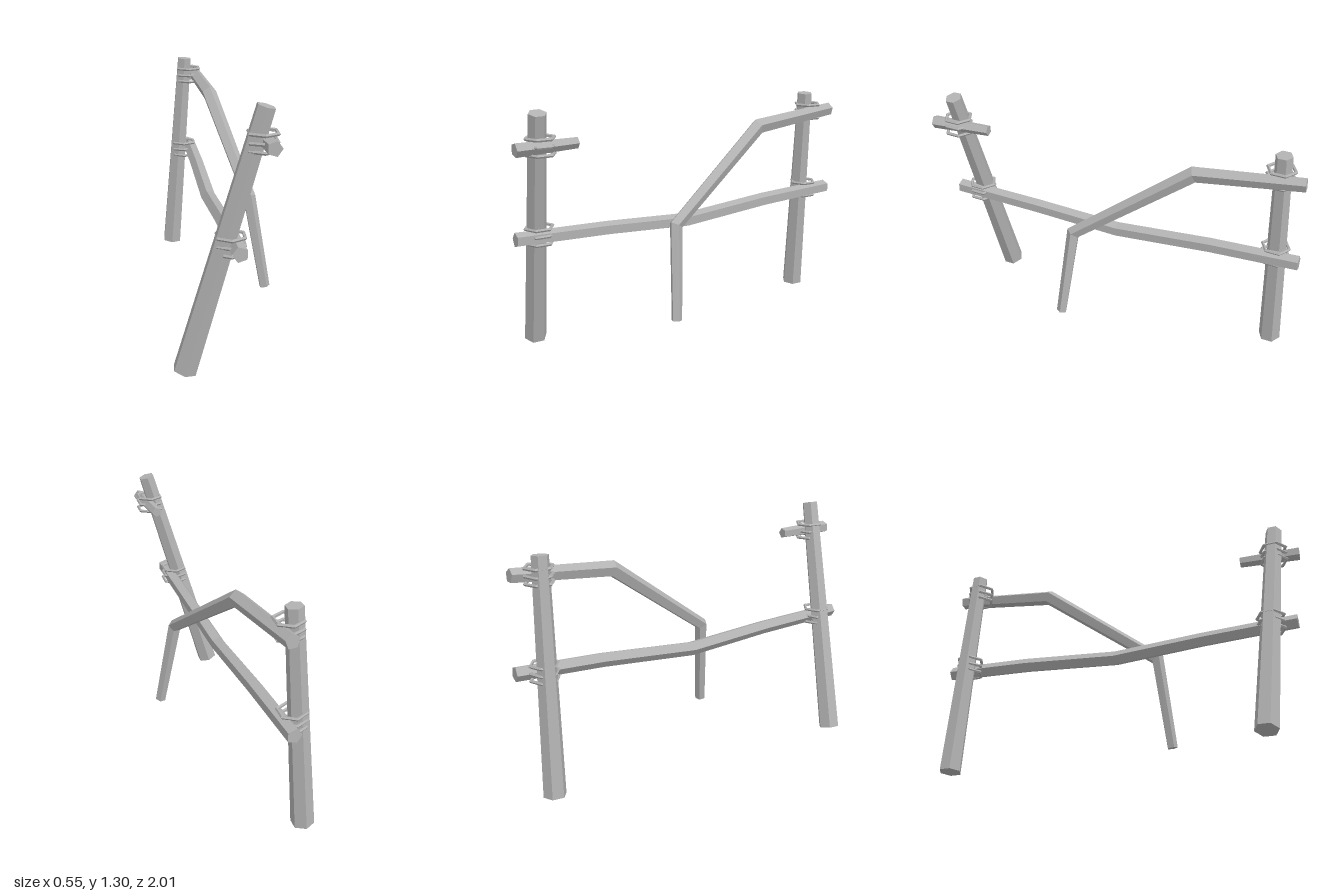
import * as THREE from 'three';

const wood = new THREE.MeshStandardMaterial({ color: 0xb2b2b2 });
wood.name = 'grey wood';

// Tapered polygonal pole through points [x, y, z, radius], mitred at bends.
// "ref" is the direction the first corner of the cross-section points to.
function pole(name, sides, ref, pts) {
  const P = pts.map(p => new THREE.Vector3(p[0], p[1], p[2]));
  const dir = i => P[i + 1].clone().sub(P[i]).normalize();
  const rings = [];
  const u = new THREE.Vector3(...ref);
  P.forEach((c, i) => {
    const a = dir(Math.max(i - 1, 0));
    const b = dir(Math.min(i, P.length - 2));
    const n = a.clone().add(b).normalize();
    // carry the cross-section along, then slide it onto the mitre plane
    u.addScaledVector(a, -u.dot(a)).normalize();
    const v = new THREE.Vector3().crossVectors(a, u);
    const ring = [];
    for (let k = 0; k < sides; k++) {
      const t = k / sides * Math.PI * 2;
      const q = u.clone().multiplyScalar(Math.cos(t)).addScaledVector(v, Math.sin(t)).multiplyScalar(pts[i][3]);
      q.addScaledVector(a, -q.dot(n) / a.dot(n));
      ring.push(q.add(c));
    }
    rings.push(ring);
  });
  const pos = [];
  const tri = (...vs) => vs.forEach(p => pos.push(p.x, p.y, p.z));
  const last = rings.length - 1;
  for (let k = 0; k < sides; k++) {
    const m = (k + 1) % sides;
    for (let i = 0; i < last; i++) {
      const [A, B] = [rings[i], rings[i + 1]];
      tri(A[k], A[m], B[m]);
      tri(A[k], B[m], B[k]);
    }
    tri(P[0], rings[0][m], rings[0][k]);
    tri(P[last], rings[last][k], rings[last][m]);
  }
  const g = new THREE.BufferGeometry();
  g.setAttribute('position', new THREE.Float32BufferAttribute(pos, 3));
  g.computeVertexNormals();
  const mesh = new THREE.Mesh(g, wood);
  mesh.name = name;
  return mesh;
}

// Three six-sided rope loops stacked around a joint
function lashing(name, x, y, z) {
  const group = new THREE.Group();
  group.name = name;
  for (let i = -1; i <= 1; i++) {
    const g = new THREE.TorusGeometry(0.071, 0.009, 5, 6).toNonIndexed();
    g.rotateZ(Math.PI / 6);
    g.rotateX(Math.PI / 2);
    g.computeVertexNormals();
    const loop = new THREE.Mesh(g, wood);
    loop.name = 'ropeLoop';
    loop.position.set(x, y + i * 0.038, z);
    loop.rotation.z = i === 0 ? 0.04 : 0;
    group.add(loop);
  }
  return group;
}

export function createModel() {
  const model = new THREE.Group();
  model.name = 'brokenFence';

  // Leaning posts
  model.add(pole('frontPost', 6, [0, 0, 1], [[-0.21, 0.018, 0.83, 0.06], [0.148, 1.288, 0.875, 0.045]]));
  model.add(pole('backPost', 6, [0, 0, 1], [[-0.22, 0.022, -0.875, 0.06], [-0.125, 1.232, -0.848, 0.044]]));

  // Sagging lower rail
  model.add(pole('lowerRail', 5, [-1, 0, 0], [
    [0.033, 0.655, 0.98, 0.038], [0, 0.633, 0.48, 0.039], [-0.037, 0.598, 0, 0.04],
    [-0.068, 0.638, -0.53, 0.04], [-0.097, 0.655, -1, 0.039]]));

  // Snapped upper rail: a stub at the front, the rest hanging from the back
  model.add(pole('upperRailStub', 5, [1, 0, 0], [[0.17, 1.13, 1, 0.036], [0.133, 1.13, 0.68, 0.029]]));
  model.add(pole('upperRailHanging', 5, [1, 0.3, 0], [
    [-0.07, 1.135, -0.985, 0.037], [0, 1.088, -0.44, 0.042],
    [0.165, 0.65, 0.165, 0.035], [0.25, 0.153, 0.208, 0.029]]));

  // Rope lashings at the joints
  model.add(lashing('frontUpperLashing', 0.138, 1.132, 0.865));
  model.add(lashing('frontLowerLashing', 0.002, 0.657, 0.848));
  model.add(lashing('backUpperLashing', -0.1, 1.132, -0.85));
  model.add(lashing('backLowerLashing', -0.135, 0.657, -0.863));
  return model;
}
